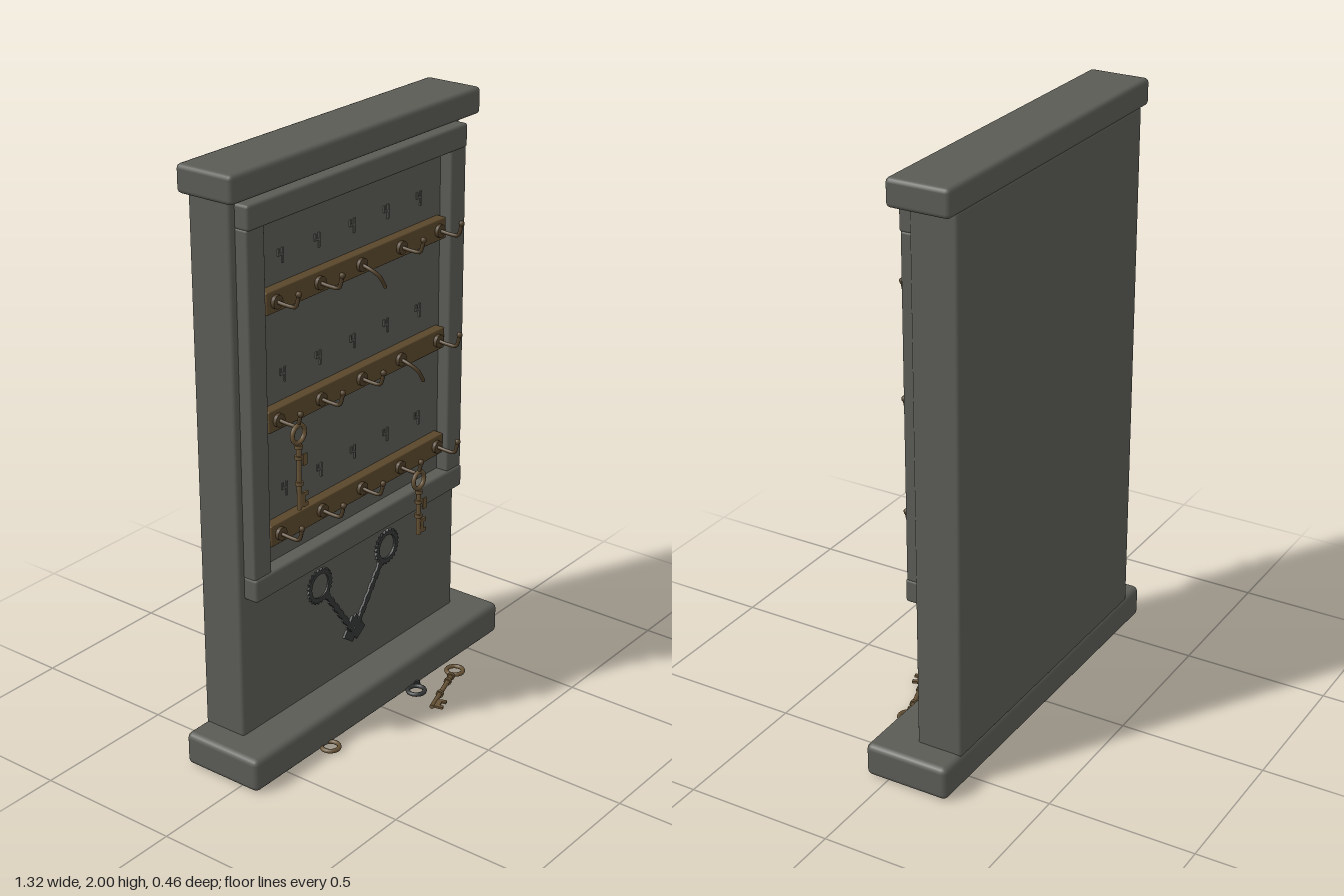
import * as THREE from 'three';
import { RoundedBoxGeometry } from 'three/addons/geometries/RoundedBoxGeometry.js';

const mat = (name, color) => {
  const m = new THREE.MeshStandardMaterial({ color });
  m.name = name;
  return m;
};

export function createModel() {
  const stone = mat('grey stone', 0x5a5b55);
  const wood = mat('brown strip', 0x5a472b);
  const bronze = mat('bronze', 0x675336);
  const hookMetal = mat('dark bronze', 0x4f3f29);
  const iron = mat('dark iron', 0x343636);
  const model = new THREE.Group();
  model.name = 'keyBoard';

  const add = (parent, name, geo, material, x = 0, y = 0, z = 0) => {
    const m = new THREE.Mesh(geo, material);
    m.name = name;
    m.position.set(x, y, z);
    parent.add(m);
    return m;
  };
  // Rounded block given by its limits
  const block = (name, x0, x1, y0, y1, z0, z1, r, material = stone) =>
    add(model, name, new RoundedBoxGeometry(x1 - x0, y1 - y0, z1 - z0, 2, r), material,
      (x0 + x1) / 2, (y0 + y1) / 2, (z0 + z1) / 2);
  const tube = (points, radius) => new THREE.TubeGeometry(
    new THREE.CatmullRomCurve3(points.map(p => new THREE.Vector3(...p))), 12, radius, 8);

  // Slab, cap, base and raised frame
  block('backSlab', -0.566, 0.566, 0.11, 1.92, -0.22, -0.06, 0.012);
  block('topCap', -0.613, 0.613, 1.91, 2, -0.222, -0.01, 0.015);
  block('base', -0.662, 0.662, 0.005, 0.12, -0.222, 0.075, 0.02);
  block('frameTopRail', -0.543, 0.543, 1.815, 1.895, -0.08, -0.01, 0.01);
  block('frameBottomRail', -0.543, 0.543, 0.605, 0.685, -0.08, -0.01, 0.01);
  for (const s of [-1, 1]) {
    const x = s * 0.503;
    block('frameStile', x - 0.04, x + 0.04, 0.68, 1.82, -0.08, -0.015, 0.008);
  }

  // Hook: rosette, stem and ball tip; a bent one droops to the side
  function addHook(x, y, bent) {
    const g = new THREE.Group();
    g.name = bent ? 'bentHook' : 'hook';
    g.position.set(x, y, 0);
    model.add(g);
    add(g, 'rosette', new THREE.CylinderGeometry(0.022, 0.022, 0.014, 16), hookMetal, 0, 0, -0.02)
      .rotation.x = Math.PI / 2;
    const path = bent
      ? [[0, 0, -0.02], [0.004, -0.012, 0.015], [0.015, -0.03, 0.036], [0.035, -0.068, 0.044]]
      : [[0, 0, -0.02], [0, -0.003, 0.02], [0, 0, 0.052], [0, 0.018, 0.06], [0, 0.042, 0.065]];
    add(g, 'stem', tube(path, 0.0065), hookMetal);
    const tip = path[path.length - 1];
    add(g, 'tip', new THREE.SphereGeometry(bent ? 0.0065 : 0.01, 10, 8), hookMetal, ...tip);
  }

  // Strips with five hooks and a small notch mark above each
  [1.563, 1.18, 0.795].forEach((y, row) => {
    block('hookStrip', -0.45, 0.45, y - 0.036, y + 0.036, -0.07, -0.025, 0.004, wood);
    for (let i = 0; i < 5; i++) {
      addHook((i - 2) * 0.205, y, (row === 0 && i === 2) || (row === 1 && i === 3));
      const mx = (i - 2) * 0.172;
      add(model, 'notchMark', new THREE.BoxGeometry(0.007, 0.048, 0.006), stone, mx + 0.009, y + 0.118, -0.058);
      add(model, 'notchMark', new THREE.BoxGeometry(0.02, 0.007, 0.006), stone, mx - 0.002, y + 0.122, -0.058);
      add(model, 'notchMark', new THREE.BoxGeometry(0.007, 0.022, 0.006), stone, mx - 0.01, y + 0.13, -0.058);
    }
  });

  // Key in the xy plane: bow at the origin, shaft towards -y, bit towards +x
  function makeKey(name, length, material) {
    const g = new THREE.Group();
    g.name = name;
    add(g, 'bow', new THREE.TorusGeometry(0.029, 0.0075, 8, 24), material);
    add(g, 'shaft', new THREE.CylinderGeometry(0.008, 0.008, length - 0.03, 10), material, 0, -(length + 0.03) / 2, 0);
    for (const d of [0.042, 0.078, length * 0.65])
      add(g, 'collar', new THREE.CylinderGeometry(0.013, 0.013, 0.012, 12), material, 0, -d, 0);
    add(g, 'bitWeb', new THREE.BoxGeometry(0.02, 0.046, 0.008), material, 0.014, -length + 0.026, 0);
    for (const d of [0.008, 0.044])
      add(g, 'tooth', new THREE.BoxGeometry(0.02, 0.013, 0.008), material, 0.028, -length + d, 0);
    model.add(g);
    return g;
  }

  // Hanging keys with a small clip in front
  for (const [x, y, len] of [[-0.41, 1.155, 0.253], [0.205, 0.77, 0.2]]) {
    makeKey('hangingKey', len, bronze).position.set(x, y, 0.056);
    add(model, 'keyClip', new THREE.BoxGeometry(0.02, 0.038, 0.005), bronze, x, y - 0.077, 0.08);
  }

  // Keys lying flat at the foot
  const lay = (name, x, z, dx, dz, len, material) => {
    const g = makeKey(name, len, material);
    g.rotation.set(-Math.PI / 2, 0, Math.atan2(dx, dz), 'XYZ');
    g.position.set(x, 0.0145, z);
  };
  lay('fallenKey', 0.328, 0.128, -0.245, 0.08, 0.255, bronze);
  lay('fallenKey', -0.314, 0.092, 0.05, -0.2, 0.22, bronze);
  lay('fallenIronKey', 0.14, 0.102, 0.17, -0.12, 0.2, iron);

  // Crossed key relief with toothed edges
  const relief = new THREE.Group();
  relief.name = 'crossedKeysRelief';
  relief.position.z = -0.057;
  model.add(relief);
  for (const s of [-1, 1]) {
    const key = new THREE.Group();
    key.name = 'reliefKey';
    key.position.set(s * 0.178, 0.5, s * 0.001);
    key.rotation.z = -s * 0.62;
    relief.add(key);
    const ring = new THREE.Shape();
    const n = 48;
    for (let i = 0; i < n; i++) {
      const a = i / n * Math.PI * 2, r = i % 2 ? 0.056 : 0.064;
      ring[i ? 'lineTo' : 'moveTo'](r * Math.cos(a), r * Math.sin(a));
    }
    ring.closePath();
    ring.holes.push(new THREE.Path().absarc(0, 0, 0.043, 0, Math.PI * 2, true));
    add(key, 'reliefBow', new THREE.ExtrudeGeometry(ring, { depth: 0.008, bevelEnabled: false, curveSegments: 16 }), iron, 0, 0, -0.004);
    for (let i = 0; i < 14; i++)
      add(key, 'reliefShaft', new THREE.BoxGeometry(i % 2 ? 0.017 : 0.024, 0.021, 0.008), iron, 0, -0.062 - i * 0.0205, 0);
    for (const d of [0.275, 0.325])
      add(key, 'reliefBit', new THREE.BoxGeometry(0.05, 0.03, 0.008), iron, -s * 0.022, -d, 0);
  }
  return model;
}
